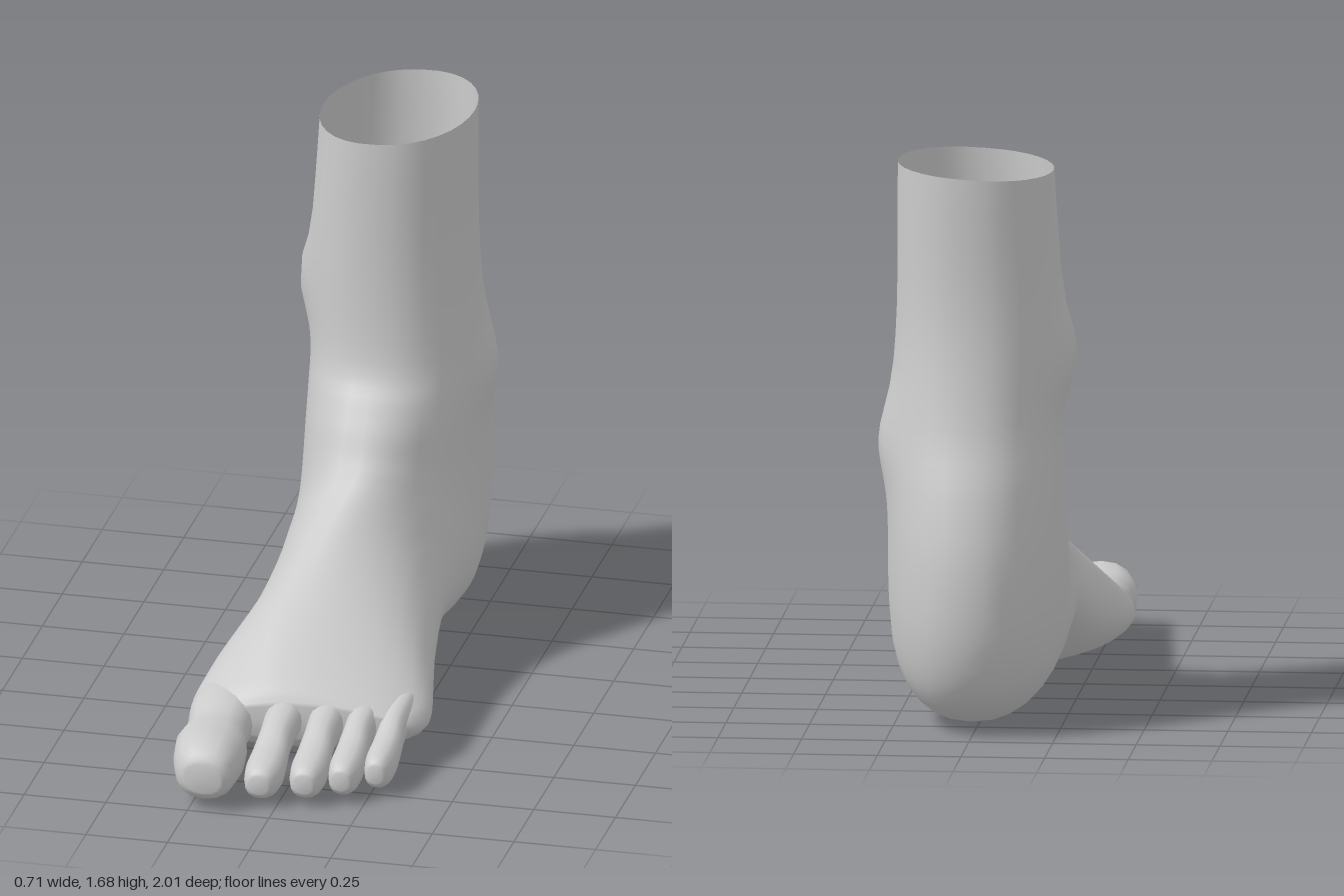
import * as THREE from 'three';

const material = new THREE.MeshStandardMaterial({ color: 0xcccccc, side: THREE.DoubleSide });
const V = (x, y, z) => new THREE.Vector3(x, y, z);
const bell = (d, r) => Math.exp(-(d * d) / (r * r));

// Skin over equal rings of points, the last ring closed with a fan
function loft(rings, name) {
  const n = rings[0].length;
  const last = rings[rings.length - 1];
  const tip = last.reduce((sum, p) => sum.add(p), V(0, 0, 0)).divideScalar(n);
  const points = [...rings.flat(), tip];
  const index = [];
  rings.forEach((ring, j) => {
    for (let i = 0; i < n; i++) {
      const a = j * n + i, b = j * n + (i + 1) % n;
      if (ring === last) index.push(a, points.length - 1, b);
      else index.push(a, a + n, b, b, a + n, b + n);
    }
  });
  const geometry = new THREE.BufferGeometry().setFromPoints(points);
  geometry.setIndex(index);
  geometry.computeVertexNormals();
  const mesh = new THREE.Mesh(geometry, material);
  mesh.name = name;
  return mesh;
}

// Leg and foot: sections fan round from the shin to the ball of the foot
// front z, y, back z, y, inner x, outer x, fullness towards the sole, ridge shift
const SECTIONS = [
  [-0.25, 1.665, -0.825, 1.67, -0.21, 0.255, 1, 0],
  [-0.245, 1.25, -0.83, 1.25, -0.235, 0.258, 1, 0],
  [-0.22, 0.97, -0.88, 0.93, -0.235, 0.275, 1, 0],
  [-0.16, 0.86, -0.95, 0.72, -0.24, 0.28, 1, 0],
  [-0.115, 0.79, -1, 0.5, -0.245, 0.28, 1, 0],
  [-0.08, 0.73, -1, 0.26, -0.25, 0.28, 0.97, 0],
  [-0.05, 0.69, -0.92, 0.09, -0.25, 0.28, 0.95, 0],
  [-0.02, 0.655, -0.73, 0.018, -0.25, 0.28, 0.9, -0.01],
  [0.03, 0.61, -0.5, 0.03, -0.25, 0.27, 0.85, -0.03],
  [0.1, 0.555, -0.24, 0.075, -0.25, 0.265, 0.78, -0.05],
  [0.2, 0.485, 0.03, 0.03, -0.275, 0.29, 0.74, -0.07],
  [0.35, 0.395, 0.3, 0.005, -0.335, 0.335, 0.7, -0.08],
  [0.49, 0.31, 0.46, 0.018, -0.355, 0.355, 0.7, -0.07],
  [0.58, 0.25, 0.56, 0.055, -0.325, 0.33, 0.75, -0.05],
  [0.615, 0.205, 0.61, 0.1, -0.28, 0.29, 0.8, -0.02],
];

function footBody() {
  const curve = (f) => new THREE.CatmullRomCurve3(SECTIONS.map(f), false, 'catmullrom', 0.5);
  const front = curve((s) => V(s[6], s[1], s[0]));
  const back = curve((s) => V(s[7], s[3], s[2]));
  const sides = curve((s) => V(s[4], s[5], 0));
  const steps = (SECTIONS.length - 1) * 4, n = 32;
  const rings = [];
  for (let j = 0; j <= steps; j++) {
    const f = front.getPoint(j / steps), b = back.getPoint(j / steps), w = sides.getPoint(j / steps);
    const ring = [];
    for (let i = 0; i < n; i++) {
      const t = (i / n) * Math.PI * 2;
      const s = Math.pow((1 - Math.cos(t)) / 2, f.x);
      const across = Math.sign(Math.sin(t)) * Math.pow(Math.abs(Math.sin(t)), 0.9);
      const p = V(
        (w.x + w.y) / 2 + across * (w.y - w.x) / 2 + b.x * (1 - s) * (1 - Math.abs(across)),
        f.y + (b.y - f.y) * s,
        f.z + (b.z - f.z) * s,
      );
      // ankle bones
      if (p.x < 0) p.x -= 0.045 * bell(p.y - 1.11, 0.13) * bell(p.z + 0.55, 0.13);
      else p.x += 0.032 * bell(p.y - 0.85, 0.13) * bell(p.z + 0.62, 0.14);
      // inner arch
      const low = THREE.MathUtils.clamp(1 - p.y / 0.35, 0, 1);
      p.y += 0.1 * low * THREE.MathUtils.clamp(-p.x / 0.2, 0, 1) * bell(p.z + 0.12, 0.28);
      // toe line slants back towards the little toe, cut edge tilts
      p.z -= 0.13 * p.x * THREE.MathUtils.smoothstep(p.z, 0.25, 0.55);
      p.y += 0.06 * p.x * THREE.MathUtils.smoothstep(p.y, 1.25, 1.66);
      ring.push(p);
    }
    rings.push(ring);
  }
  return loft(rings, 'footAndAnkle');
}

// Toe from rows of z, centre x, centre y, half width, half height
function toe(rows, name) {
  const a = new THREE.CatmullRomCurve3(rows.map((r) => V(r[1], r[2], r[0])), false, 'catmullrom', 0.5);
  const b = new THREE.CatmullRomCurve3(rows.map((r) => V(r[3], r[4], 0)), false, 'catmullrom', 0.5);
  const steps = (rows.length - 1) * 3, n = 16;
  const rings = [];
  for (let j = 0; j <= steps; j++) {
    const c = a.getPoint(j / steps), r = b.getPoint(j / steps);
    rings.push(Array.from({ length: n }, (_, i) => {
      const t = (i / n) * Math.PI * 2;
      const round = (v) => Math.sign(v) * Math.pow(Math.abs(v), 0.85);
      return V(c.x + r.x * round(Math.sin(t)), c.y + r.y * round(Math.cos(t)), c.z);
    }));
  }
  return loft(rings, name);
}

export function createModel() {
  const model = new THREE.Group();
  model.name = 'foot';
  model.add(footBody());

  model.add(toe([
    [0.42, -0.23, 0.16, 0.09, 0.07],
    [0.6, -0.24, 0.14, 0.1, 0.085],
    [0.7, -0.232, 0.125, 0.09, 0.08],
    [0.8, -0.225, 0.12, 0.108, 0.09],
    [0.9, -0.215, 0.12, 0.102, 0.094],
    [0.97, -0.207, 0.115, 0.085, 0.08],
    [1.0, -0.205, 0.11, 0.055, 0.045],
  ], 'bigToe'));

  // share of length, centre height, width factor, half height
  const profile = [
    [0, 0.17, 0.9, 0.05], [0.3, 0.155, 0.95, 0.058], [0.52, 0.135, 0.86, 0.058],
    [0.68, 0.105, 0.95, 0.055], [0.83, 0.085, 1, 0.06], [0.95, 0.08, 0.82, 0.05], [1, 0.08, 0.5, 0.028],
  ];
  // name, start x, tip x, tip z, half width
  [
    ['secondToe', -0.05, -0.048, 0.94, 0.058],
    ['thirdToe', 0.075, 0.08, 0.905, 0.055],
    ['fourthToe', 0.18, 0.182, 0.855, 0.05],
    ['littleToe', 0.275, 0.27, 0.78, 0.046],
  ].forEach(([name, x0, x1, tip, r]) => {
    const start = tip - 0.46;
    model.add(toe(profile.map(([u, y, w, h]) =>
      [start + u * 0.46, x0 + (x1 - x0) * u, y, r * w, h]), name));
  });
  return model;
}
